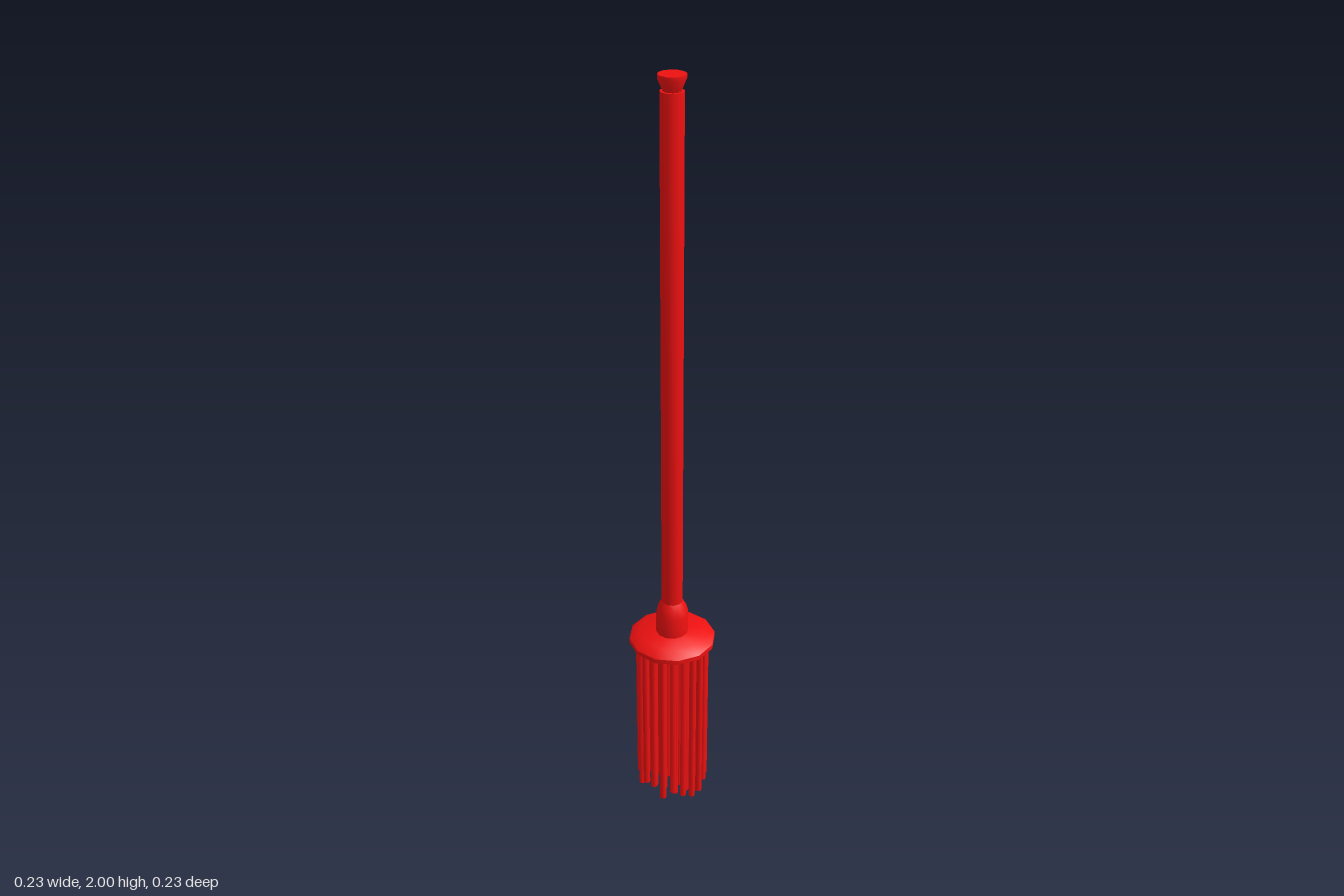
import * as THREE from 'three';
import { toCreasedNormals } from 'three/addons/utils/BufferGeometryUtils.js';

const SIDES = 12;
const red = new THREE.MeshStandardMaterial({ color: 0xee1111, side: THREE.DoubleSide });

// Turned part from [radius, height] pairs listed bottom to top
function turned(name, profile) {
  const points = profile.map(([r, y]) => new THREE.Vector2(r, y));
  const geometry = toCreasedNormals(new THREE.LatheGeometry(points, SIDES), 0.7);
  const mesh = new THREE.Mesh(geometry, red);
  mesh.name = name;
  return mesh;
}

// Small seeded generator for uneven bristle ends
function seeded(seed) {
  return () => {
    seed = (seed * 16807) % 2147483647;
    return seed / 2147483647;
  };
}

function createBristles() {
  const bristles = new THREE.Group();
  bristles.name = 'bristles';
  const random = seeded(29);
  const top = 0.5;
  // Concentric rings of [radius, count]
  for (const [radius, count] of [[0, 1], [0.03, 6], [0.06, 12], [0.089, 20]]) {
    for (let i = 0; i < count; i++) {
      const angle = (i / count) * Math.PI * 2;
      const bottom = i === 0 ? 0 : random() * 0.04;
      const length = top - bottom;
      const bristle = new THREE.Mesh(new THREE.CylinderGeometry(0.009, 0.009, length, 6), red);
      bristle.position.set(Math.cos(angle) * radius, bottom + length / 2, Math.sin(angle) * radius);
      bristle.rotation.y = random() * Math.PI;
      bristle.name = 'bristle';
      bristles.add(bristle);
    }
  }
  return bristles;
}

export function createModel() {
  const broom = new THREE.Group();
  broom.name = 'broom';

  // Bevelled plate holding the bristles
  broom.add(turned('headPlate', [[0, 0.49], [0.115, 0.49], [0.115, 0.503], [0.09, 0.522], [0, 0.522]]));

  // Collar tapering onto the handle
  broom.add(turned('socket', [[0.043, 0.515], [0.043, 0.58], [0.037, 0.602], [0.028, 0.618]]));

  // Long straight handle
  broom.add(turned('handle', [[0.028, 0.6], [0.028, 1.963], [0, 1.963]]));

  // Flared end of the handle
  broom.add(turned('handleTip', [[0.02, 1.96], [0.033, 1.99], [0.033, 2], [0, 2]]));

  broom.add(createBristles());
  return broom;
}
